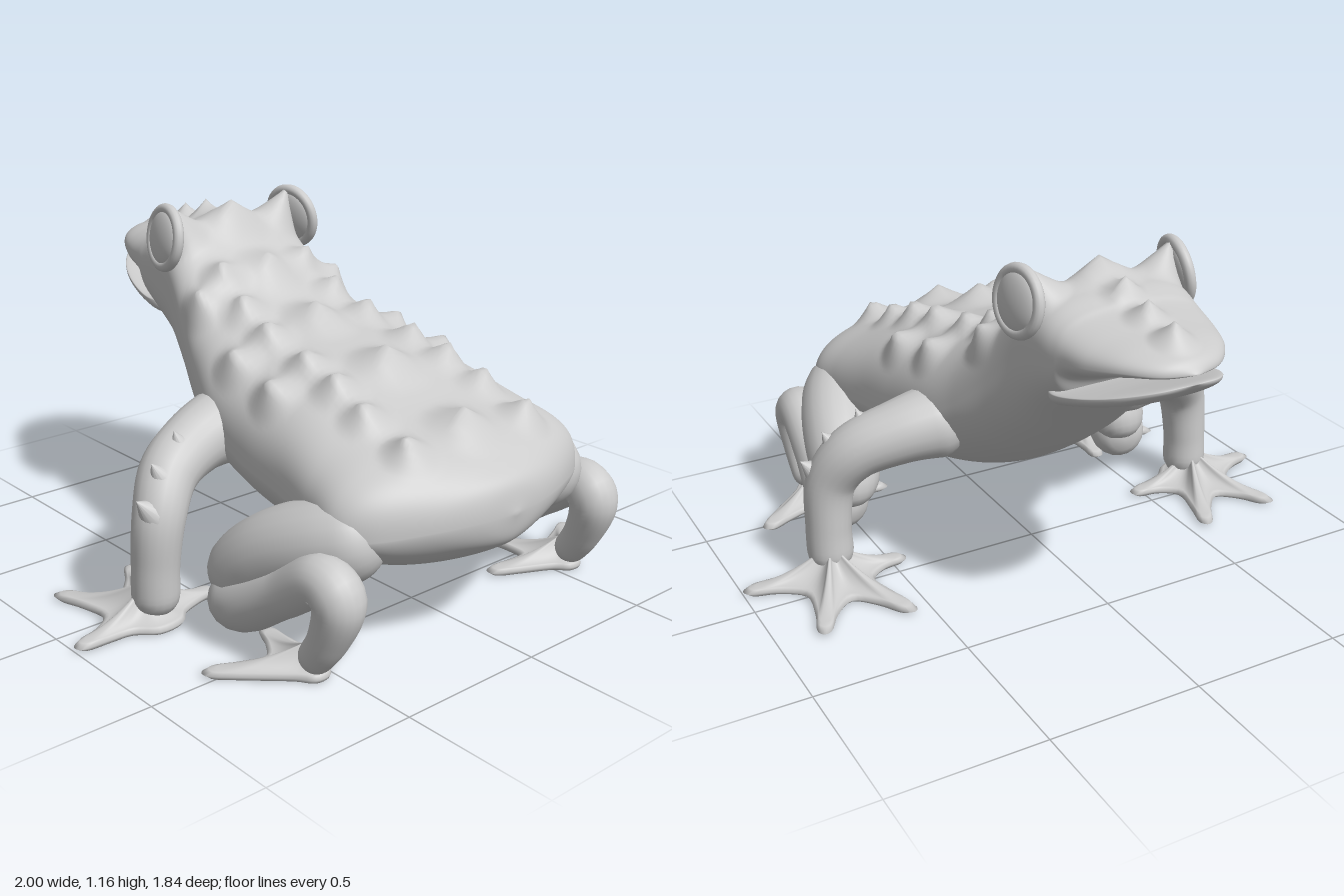
import * as THREE from 'three';
import { mergeVertices } from 'three/addons/utils/BufferGeometryUtils.js';

const material = new THREE.MeshStandardMaterial({ color: 0xcccccc, side: THREE.DoubleSide });
const V = (x, y, z) => new THREE.Vector3(x, y, z);

function mesh(name, geometry) {
  const m = new THREE.Mesh(geometry, material);
  m.name = name;
  return m;
}

function smooth(g) {
  g.deleteAttribute('uv');
  g.deleteAttribute('normal');
  g = mergeVertices(g, 1e-5);
  g.computeVertexNormals();
  return g;
}

// Joins rings of points, each a closed loop, into a smooth skin
function skin(rings) {
  const pos = [], index = [], cols = rings[0].length;
  rings.forEach((ring, i) => ring.forEach((p, j) => {
    pos.push(p.x, p.y, p.z);
    if (i === rings.length - 1) return;
    const n = (j + 1) % cols, r0 = i * cols, r1 = r0 + cols;
    index.push(r0 + j, r1 + j, r0 + n, r1 + j, r1 + n, r0 + n);
  }));
  const g = new THREE.BufferGeometry();
  g.setAttribute('position', new THREE.Float32BufferAttribute(pos, 3));
  g.setIndex(index);
  return smooth(g);
}

// Lofts cross-sections [z, top, bottom, widest height, half width, squareness] and raises pointed warts
function loft(stations, rows, cols, warts = []) {
  const a = new THREE.CatmullRomCurve3(stations.map(s => V(s[0], s[1], s[2])), false, 'catmullrom', 0.5);
  const b = new THREE.CatmullRomCurve3(stations.map(s => V(s[3], s[4], s[5])), false, 'catmullrom', 0.5);
  const point = (t, ang) => {
    const p = a.getPoint(t), q = b.getPoint(t);
    const c = Math.cos(ang), s = Math.sin(ang);
    // The belly is keeled, the throat is full
    const e = s > 0 ? q.z : THREE.MathUtils.lerp(0.8, 1.2, THREE.MathUtils.smoothstep(p.x, -0.5, 0.3));
    const h = s > 0 ? p.y - q.x : q.x - p.z;
    return V(Math.max(q.y, 0) * Math.sign(c) * Math.abs(c) ** e,
      q.x + h * Math.sign(s) * Math.abs(s) ** e, p.x);
  };
  const tAtZ = z => {
    let lo = 0, hi = 1;
    for (let i = 0; i < 24; i++) {
      const mid = (lo + hi) / 2;
      if (a.getPoint(mid).x > z) lo = mid; else hi = mid;
    }
    return lo;
  };
  const peaks = warts.map(([z, ang, h, r]) => ({
    p: point(tAtZ(z), ang), dir: V(Math.cos(ang) * 0.8, 1, 0).normalize(), h, r }));
  const rings = [];
  for (let i = 0; i <= rows; i++) {
    rings.push(Array.from({ length: cols }, (_, j) => {
      const p = point(i / rows, (j / cols) * Math.PI * 2), out = p.clone();
      for (const k of peaks) {
        const d = p.distanceTo(k.p) / k.r;
        if (d < 1) out.addScaledVector(k.dir, k.h * (1 - d) ** 1.5);
      }
      return out;
    }));
  }
  return skin(rings);
}

// Tapered, round-ended tube through [x, y, z, radius] points
function limb(points, side, rings = 44, sides = 20) {
  const curve = new THREE.CatmullRomCurve3(points.map(p => V(p[0] * side, p[1], p[2])));
  const radii = new THREE.CatmullRomCurve3(points.map((p, i) => V(i, p[3], 0)), false, 'catmullrom', 0.5);
  const g = new THREE.TubeGeometry(curve, rings, 1, sides);
  const pos = g.attributes.position, v = V(0, 0, 0), length = curve.getLength();
  for (let i = 0; i <= rings; i++) {
    const u = i / rings, c = curve.getPointAt(u);
    const base = radii.getPoint(curve.getUtoTmapping(u)).y;
    const d = Math.min(1, Math.min(u, 1 - u) * length / base);
    const r = base * Math.sqrt(Math.max(0, 1 - (1 - d) ** 2));
    for (let j = 0; j <= sides; j++) {
      const k = i * (sides + 1) + j;
      v.fromBufferAttribute(pos, k).sub(c).multiplyScalar(r).add(c);
      pos.setXYZ(k, v.x, v.y, v.z);
    }
  }
  return smooth(g);
}

// Webbed foot: a low dome over a star of blunt toes; the last valley is the heel
function foot(name, side, [cx, cz], tips, heel, height) {
  const outline = [];
  tips.forEach(([x, z], i) => {
    const dx = x - cx, dz = z - cz, l = Math.hypot(dx, dz);
    for (const [f, w] of [[0.68, -0.036], [0.96, -0.02], [1, 0], [0.96, 0.02], [0.68, 0.036]]) {
      outline.push(V(cx + dx * f - dz / l * w, 0, cz + dz * f + dx / l * w));
    }
    const next = tips[i + 1];
    if (next) outline.push(V(cx + ((x + next[0]) / 2 - cx) * 0.55, 0, cz + ((z + next[1]) / 2 - cz) * 0.55));
  });
  heel.forEach(([x, z]) => outline.push(V(x, 0, z)));
  const loop = new THREE.CatmullRomCurve3(outline, true, 'centripetal').getPoints(outline.length * 4).slice(0, -1);
  if (side < 0) loop.reverse();
  const ring = (f, y) => loop.map(p => V(side * (cx + (p.x - cx) * f), y, cz + (p.z - cz) * f));
  const rings = [ring(0, 0.014), ring(0.5, 0.014), ring(0.94, 0.016), ring(1, 0.027)];
  for (let i = 1; i <= 14; i++) {
    const f = 1 - i / 14;
    rings.push(ring(f, 0.038 + height * (1 - f) ** 2));
  }
  return mesh(name, skin(rings));
}

export function createModel() {
  const model = new THREE.Group();
  model.name = 'frog';

  // Warts: a row down the spine, paired rows beside it, and one over each eye
  const mid = Math.PI / 2, warts = [];
  for (const z of [-0.8, -0.67, -0.55]) warts.push([z, mid, 0.06, 0.08]);
  for (const z of [-0.4, -0.2, 0.04, 0.37, 0.7]) warts.push([z, mid, 0.07, 0.14]);
  const paired = [];
  for (const z of [-0.22, -0.09, 0.05, 0.25, 0.4, 0.54, 0.72]) paired.push([z, 1.17, 0.07, 0.1]);
  for (const z of [-0.2, 0.05, 0.25]) paired.push([z, 0.75, 0.06, 0.1]);
  paired.push([-0.41, 0.95, 0.11, 0.1]);
  for (const [z, ang, h, r] of paired) warts.push([z, ang, h, r], [z, Math.PI - ang, h, r]);

  // Body and upper head
  model.add(mesh('body', loft([
    [0.92, 0.445, 0.445, 0.445, 0, 1],
    [0.9, 0.53, 0.36, 0.445, 0.14, 0.95],
    [0.85, 0.575, 0.315, 0.44, 0.29, 0.85],
    [0.77, 0.62, 0.27, 0.43, 0.44, 0.78],
    [0.68, 0.65, 0.24, 0.43, 0.505, 0.76],
    [0.55, 0.69, 0.22, 0.45, 0.49, 0.76],
    [0.38, 0.755, 0.21, 0.47, 0.46, 0.78],
    [0.2, 0.795, 0.235, 0.5, 0.445, 0.8],
    [0, 0.84, 0.31, 0.57, 0.42, 0.82],
    [-0.15, 0.91, 0.41, 0.65, 0.365, 0.8],
    [-0.28, 1.0, 0.52, 0.76, 0.315, 0.72],
    [-0.4, 1.09, 0.63, 0.87, 0.28, 0.58],
    [-0.5, 1.09, 0.72, 0.91, 0.27, 0.6],
    [-0.57, 1.075, 0.785, 0.92, 0.26, 0.68],
    [-0.61, 1.06, 0.865, 0.945, 0.25, 0.75],
    [-0.7, 1.045, 0.905, 0.955, 0.225, 0.85],
    [-0.8, 1.03, 0.94, 0.97, 0.175, 0.9],
    [-0.88, 1.01, 0.958, 0.972, 0.1, 1],
    [-0.92, 0.972, 0.972, 0.972, 0, 1],
  ], 168, 120, warts)));

  // Lower jaw
  model.add(mesh('lowerJaw', loft([
    [-0.44, 0.86, 0.73, 0.8, 0.14, 1],
    [-0.52, 0.855, 0.745, 0.82, 0.235, 1],
    [-0.59, 0.85, 0.775, 0.83, 0.245, 1],
    [-0.7, 0.876, 0.815, 0.86, 0.222, 1],
    [-0.8, 0.908, 0.855, 0.893, 0.174, 1],
    [-0.88, 0.935, 0.905, 0.924, 0.095, 1],
    [-0.915, 0.943, 0.943, 0.943, 0, 1],
  ], 48, 48)));

  for (const side of [1, -1]) {
    const label = side > 0 ? 'left' : 'right';

    // Eye with its raised lid
    const eye = new THREE.Group();
    eye.name = label + 'Eye';
    const ball = mesh('eyeball', new THREE.SphereGeometry(0.092, 32, 20));
    ball.scale.z = 0.35;
    eye.add(ball, mesh('eyelid', new THREE.TorusGeometry(0.095, 0.018, 12, 40)));
    eye.position.set(0.272 * side, 1.065, -0.41);
    eye.rotation.set(-0.14, side * (Math.PI / 2 + 0.15), 0, 'YXZ');
    model.add(eye);

    // Front leg, elbow spikes and hand
    model.add(mesh(label + 'FrontLeg', limb([
      [0.25, 0.54, -0.03, 0.13], [0.36, 0.54, -0.01, 0.122], [0.48, 0.52, 0.01, 0.105],
      [0.61, 0.465, 0.055, 0.093], [0.68, 0.36, 0.1, 0.083], [0.7, 0.2, 0.1, 0.075],
      [0.7, 0.09, 0.095, 0.075], [0.7, 0.03, 0.09, 0.06]], side)));
    for (const [x, y, z, tilt] of [[0.58, 0.565, 0.07, 0.4], [0.68, 0.5, 0.1, 0.6], [0.745, 0.41, 0.12, 0.8]]) {
      const spike = mesh(label + 'ElbowSpike', new THREE.ConeGeometry(0.05, 0.08, 16));
      spike.position.set(x * side, y, z);
      spike.rotation.z = -tilt * side;
      model.add(spike);
    }
    model.add(foot(label + 'Hand', side, [0.71, 0.07],
      [[0.45, 0.06], [0.56, -0.26], [0.86, -0.24], [1, 0.11]],
      [[0.82, 0.14], [0.75, 0.19], [0.66, 0.18], [0.61, 0.13]], 0.11));

    // Folded hind leg
    model.add(mesh(label + 'Thigh', limb([
      [0.34, 0.41, 0.74, 0.14], [0.45, 0.385, 0.6, 0.13], [0.52, 0.31, 0.43, 0.12],
      [0.54, 0.2, 0.31, 0.11], [0.54, 0.13, 0.29, 0.09]], side)));
    model.add(mesh(label + 'Shank', limb([
      [0.54, 0.14, 0.25, 0.1], [0.565, 0.145, 0.36, 0.1], [0.565, 0.24, 0.55, 0.078],
      [0.555, 0.33, 0.71, 0.078], [0.55, 0.29, 0.765, 0.08], [0.555, 0.16, 0.73, 0.062],
      [0.56, 0.045, 0.65, 0.05]], side, 60)));
    model.add(foot(label + 'HindFoot', side, [0.56, 0.63],
      [[0.3, 0.55], [0.5, 0.37], [0.8, 0.46]],
      [[0.62, 0.66], [0.58, 0.71], [0.53, 0.71], [0.49, 0.67]], 0.07));
  }
  return model;
}
